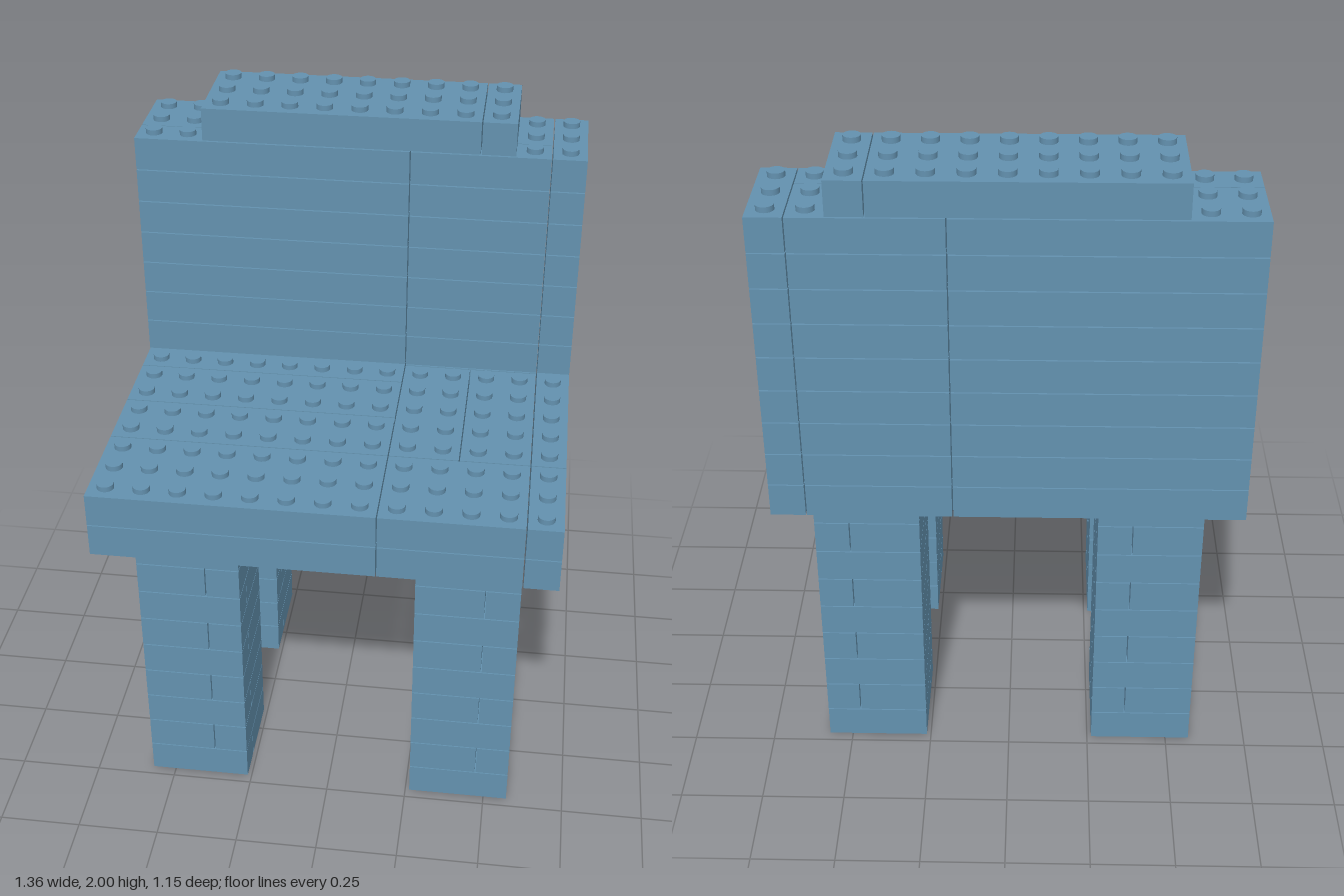
import * as THREE from 'three';
import { mergeGeometries } from 'three/addons/utils/BufferGeometryUtils.js';

const P = 0.1045;      // one grid unit: stud pitch and brick height
const GAP = 0.0035;    // seam between neighbouring bricks
const STUD_H = 0.0145;
const STUD_R = 0.025;

// Brick spanning grid ranges x0..x1 and z0..z1 on a given layer
function brick(layer, x0, x1, z0, z1) {
  const g = new THREE.BoxGeometry((x1 - x0) * P - GAP, P - GAP, (z1 - z0) * P - GAP);
  return g.translate((x0 + x1) / 2 * P, (layer + 0.5) * P, (z0 + z1) / 2 * P);
}

// Rows of studs filling a grid rectangle on top of a layer
function studs(layer, x0, x1, z0, z1) {
  const list = [];
  const h = STUD_H + GAP;
  for (let x = x0 + 0.5; x < x1; x++) {
    for (let z = z0 + 0.5; z < z1; z++) {
      const g = new THREE.CylinderGeometry(STUD_R, STUD_R, h, 20);
      list.push(g.translate(x * P, (layer + 1) * P - GAP + h / 2, z * P));
    }
  }
  return list;
}

export function createModel() {
  const model = new THREE.Group();
  model.name = 'brickChair';
  const blue = new THREE.MeshStandardMaterial({ color: 0x6391af });
  blue.name = 'dusty blue';

  const add = (name, geometries) => {
    const mesh = new THREE.Mesh(mergeGeometries(geometries), blue);
    mesh.name = name;
    model.add(mesh);
  };

  // Legs: nine layers, the split alternating between z and x
  const leg = (name, x0, xSplit, z0, zSplit) => {
    const parts = [];
    const x1 = x0 + 3, z1 = z0 + 3;
    for (let i = 0; i < 9; i++) {
      if (i % 2 === 0) parts.push(brick(i, x0, x1, z0, zSplit), brick(i, x0, x1, zSplit, z1));
      else parts.push(brick(i, x0, xSplit, z0, z1), brick(i, xSplit, x1, z0, z1));
    }
    add(name, parts);
  };
  leg('frontRightLeg', -5.5, -3.5, 1.5, 3.5);
  leg('frontLeftLeg', 2.5, 4.5, 1.5, 3.5);
  leg('backRightLeg', -5.5, -3.5, -4.5, -2.5);
  leg('backLeftLeg', 2.5, 4.5, -4.5, -2.5);

  // Seat: two layers of long bricks
  const seatPlan = [
    [-6.5, 1.5, -5.5, -3.5], [-6.5, 1.5, -3.5, -1.5], [-6.5, 1.5, -1.5, 0.5],
    [-6.5, 1.5, 0.5, 2.5], [-6.5, 1.5, 2.5, 5.5],
    [1.5, 5.5, -5.5, -2.5], [1.5, 3.5, -2.5, 2.5], [3.5, 5.5, -2.5, 2.5],
    [1.5, 5.5, 2.5, 5.5], [5.5, 6.5, -5.5, 2.5], [5.5, 6.5, 2.5, 5.5],
  ];
  add('seat', [9, 10].flatMap((i) => seatPlan.map((b) => brick(i, ...b))));
  add('seatStuds', studs(10, -6.5, 6.5, -2.5, 5.5));

  // Backrest: seven layers
  const backPlan = [
    [-6.5, 1.5, -5.5, -3.5], [-6.5, 1.5, -3.5, -2.5],
    [1.5, 5.5, -5.5, -3.5], [1.5, 5.5, -3.5, -2.5], [5.5, 6.5, -5.5, -2.5],
  ];
  const back = [];
  for (let i = 11; i < 18; i++) back.push(...backPlan.map((b) => brick(i, ...b)));
  add('backrest', back);
  add('backrestStuds', [...studs(17, -6.5, -4.5, -5.5, -2.5), ...studs(17, 4.5, 6.5, -5.5, -2.5)]);

  // Narrower top rail
  add('topRail', [brick(18, -4.5, 3.5, -5.5, -2.5), brick(18, 3.5, 4.5, -5.5, -2.5)]);
  add('topRailStuds', studs(18, -4.5, 4.5, -5.5, -2.5));

  return model;
}
